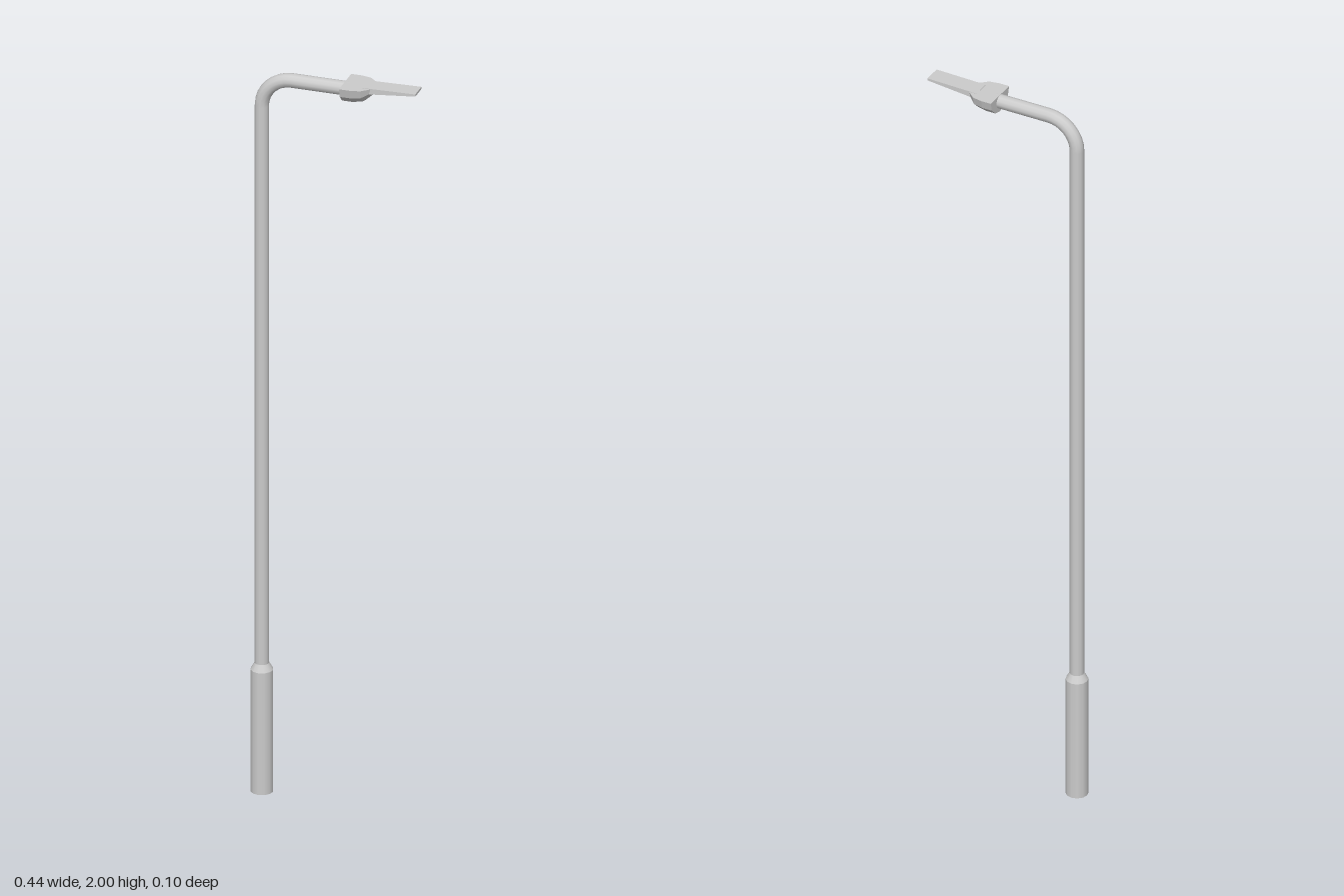
import * as THREE from 'three';

const POLE_X = -0.193;
const ARM_Y = 1.978;
const BEND = 0.08;

export function createModel() {
  const group = new THREE.Group();
  group.name = 'streetLight';
  const smooth = new THREE.MeshStandardMaterial({ color: 0xcccccc });
  const flat = new THREE.MeshStandardMaterial({ color: 0xcccccc, flatShading: true, side: THREE.DoubleSide });
  const add = (name, geometry, material) => {
    const mesh = new THREE.Mesh(geometry, material);
    mesh.name = name;
    group.add(mesh);
    return mesh;
  };

  // Thick foot of the pole with a bevelled shoulder; repeated points keep the edges sharp
  const foot = [[0, 0], [0.029, 0], [0.029, 0], [0.029, 0.337], [0.029, 0.337], [0.018, 0.356]]
    .map(([r, y]) => new THREE.Vector2(r, y));
  add('base', new THREE.LatheGeometry(foot, 12), smooth).position.x = POLE_X;

  // Upright, quarter bend and arm in one continuous tube
  const v = (x, y) => new THREE.Vector3(x, y, 0);
  const k = BEND * 0.4477;
  const upright = new THREE.LineCurve3(v(POLE_X, 0.33), v(POLE_X, ARM_Y - BEND));
  const bend = new THREE.CubicBezierCurve3(v(POLE_X, ARM_Y - BEND), v(POLE_X, ARM_Y - k),
    v(POLE_X + k, ARM_Y), v(POLE_X + BEND, ARM_Y));
  const arm = new THREE.LineCurve3(v(POLE_X + BEND, ARM_Y), v(0.04, ARM_Y));
  add('upright', new THREE.TubeGeometry(upright, 1, 0.0185, 12), smooth);
  add('bend', new THREE.TubeGeometry(bend, 8, 0.0185, 12), smooth);
  add('arm', new THREE.TubeGeometry(arm, 1, 0.0185, 12), smooth);

  // Lamp housing: lower half of a turned body lying along x, closed by a flat lid
  const housing = new THREE.Group();
  housing.name = 'lampHousing';
  housing.position.set(0.027, 1.996, 0);
  const profile = [[0, 0], [0.048, 0], [0.048, 0.028], [0.043, 0.054], [0.025, 0.074], [0, 0.074]]
    .map(([r, x]) => new THREE.Vector2(r, x));
  const shell = new THREE.Mesh(new THREE.LatheGeometry(profile, 6, 0, Math.PI), flat);
  shell.name = 'housingShell';
  shell.rotation.z = -Math.PI / 2;
  const outline = profile.map((p) => new THREE.Vector2(p.y, p.x));
  const mirrored = outline.slice(1, -1).reverse().map((p) => new THREE.Vector2(p.x, -p.y));
  const lid = new THREE.Mesh(new THREE.ShapeGeometry(new THREE.Shape([...outline, ...mirrored])), flat);
  lid.name = 'housingLid';
  lid.rotation.x = -Math.PI / 2;
  housing.add(shell, lid);
  group.add(housing);

  // Slim lamp head, thinning and rising slightly towards its tip
  const head = new THREE.BoxGeometry(0.14, 1, 0.048);
  const pos = head.attributes.position;
  for (let i = 0; i < pos.count; i++) {
    const tip = pos.getX(i) > 0;
    const top = pos.getY(i) > 0;
    pos.setY(i, top ? (tip ? 2 : 1.997) : (tip ? 1.994 : 1.98));
  }
  head.computeVertexNormals();
  add('lampHead', head, flat).position.x = 0.151;

  return group;
}
